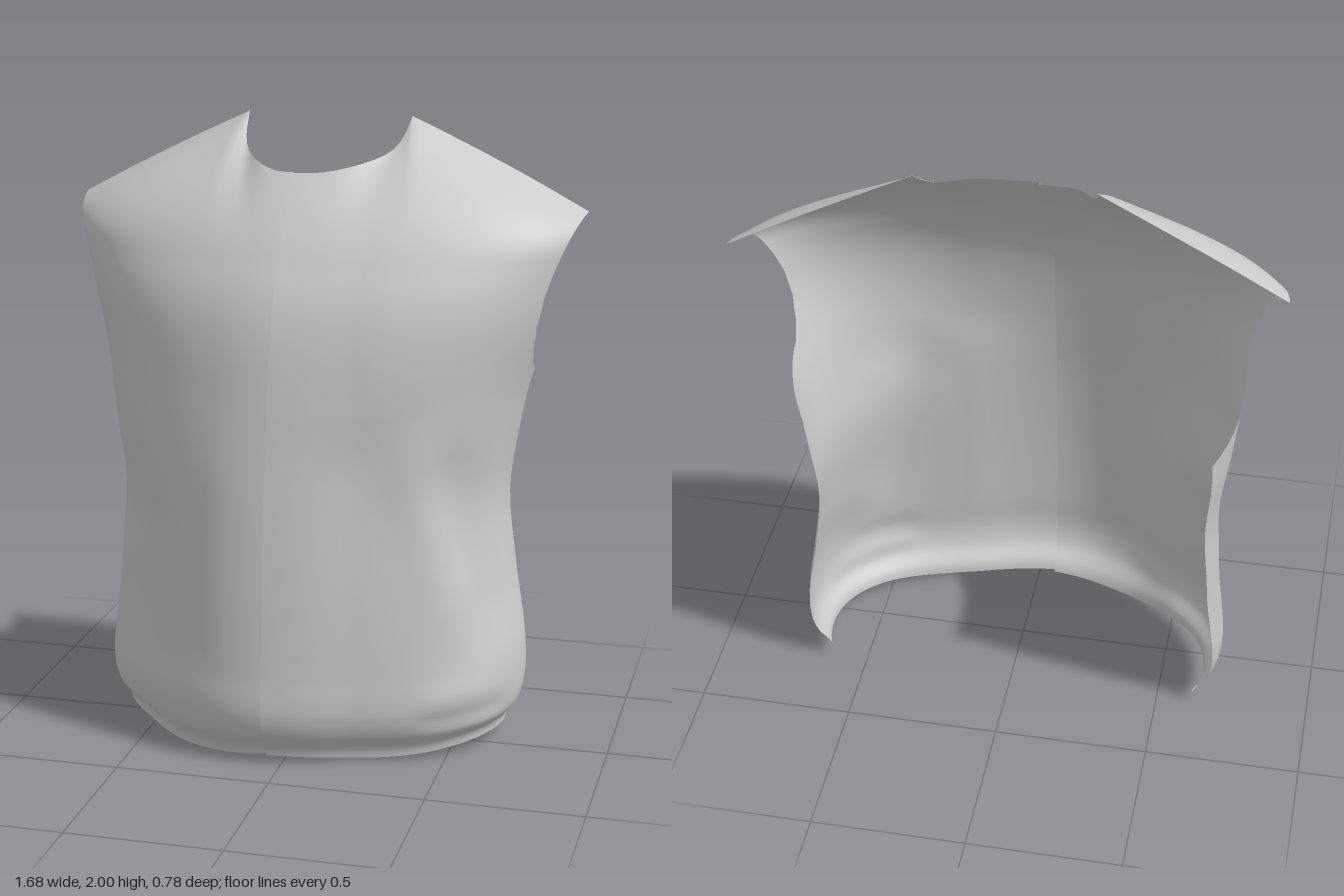
import * as THREE from 'three';

const SEAM = -0.055;  // x of the front closure
const COLS = 40;      // columns from closure to side
const NECK_COLS = 12; // columns that end on the neckline
const YOKE_ROWS = 14;

// Elliptical cross-section by height: half width, front z, centre z
const SECTION_Y = [0, 0.07, 0.115, 0.17, 0.3, 0.55, 0.8, 1.0, 1.15, 1.4, 1.5, 1.6];
const SECTIONS = [
  0.645, 0.305, -0.12, 0.648, 0.318, -0.12, 0.682, 0.36, -0.12, 0.698, 0.376, -0.13,
  0.696, 0.37, -0.15, 0.655, 0.355, -0.17, 0.626, 0.332, -0.19, 0.65, 0.308, -0.2,
  0.68, 0.287, -0.2, 0.755, 0.237, -0.2, 0.785, 0.2, -0.215, 0.825, 0.145, -0.25,
];
// Side seam and armhole: z of the cloth edge by height
const EDGE_Y = [0.045, 0.08, 0.12, 0.18, 0.3, 0.6, 0.85, 1.13, 1.195, 1.25, 1.3, 1.38, 1.47, 1.55, 1.6];
const EDGE_Z = [-0.24, -0.243, -0.247, -0.255, -0.27, -0.31, -0.345, -0.385, -0.25, -0.14, -0.105, -0.08, -0.085, -0.108, -0.13];
const NECK = [[0, 1.847, -0.037], [0.07, 1.849, -0.04], [0.155, 1.868, -0.075],
  [0.232, 1.9, -0.165], [0.258, 1.94, -0.223], [0.27, 2, -0.3]];
const SHOULDER = [[0.27, 2, -0.3], [0.45, 1.915, -0.312], [0.65, 1.815, -0.32], [0.842, 1.712, -0.325]];

// Cloth folds: start x, y, end x, y, half width, height
const FOLDS = [
  [0.27, 0.12, 0.27, 0.95, 0.19, -0.026], [0.38, 1.0, 0.52, 0.5, 0.07, 0.012],
  [0.5, 0.92, 0.62, 0.45, 0.07, -0.018], [0.62, 0.75, 0.68, 0.35, 0.07, 0.01],
  [0.48, 0.21, 0.6, 0.23, 0.05, 0.008], [0.48, 0.15, 0.64, 0.16, 0.035, -0.008],
  [-0.22, 0.15, -0.22, 0.9, 0.15, 0.01], [-0.5, 0.15, -0.5, 0.7, 0.13, -0.028],
  [-0.56, 0.92, -0.64, 0.72, 0.06, -0.01], [-0.3, 0.24, -0.5, 0.19, 0.06, 0.006],
];

const { smoothstep } = THREE.MathUtils;
const section = new THREE.CubicInterpolant(SECTION_Y, SECTIONS, 3);
const edge = new THREE.LinearInterpolant(EDGE_Y, EDGE_Z, 1);
const curve = (points) => new THREE.CatmullRomCurve3(points.map((p) => new THREE.Vector3(...p)));

function fold(p) {
  let d = 0;
  for (const [x1, y1, x2, y2, w, h] of FOLDS) {
    const dx = x2 - x1, dy = y2 - y1;
    const t = THREE.MathUtils.clamp(((p.x - x1) * dx + (p.y - y1) * dy) / (dx * dx + dy * dy), 0, 1);
    const r = Math.hypot(p.x - x1 - t * dx, p.y - y1 - t * dy) / w;
    d += h * Math.exp(-r * r);
  }
  d *= smoothstep(p.z, -0.25, 0.05); // side seams stay straight
  const n = Math.hypot(p.x, p.z + 0.4);
  p.x += d * p.x / n;
  p.z += d * (p.z + 0.4) / n;
}

// Body row at height y, from the closure round to the cloth edge
function bodyRow(y, side) {
  const [width, front, centre] = section.evaluate(y);
  const depth = front - centre;
  const end = Math.acos((edge.evaluate(y)[0] - centre) / depth);
  const fuller = side < 0 ? 0.04 * smoothstep(y, 0.3, 0.8) * (1 - smoothstep(y, 1.0, 1.4)) : 0;
  const hem = 1 - smoothstep(y, 0.04, 0.17);
  return Array.from({ length: COLS + 1 }, (_, i) => {
    const s = i / COLS, a = end * s;
    const dip = 0.026 * (1 - smoothstep(s, 0.25, 0.75))
      + (side < 0 ? 0.016 : 0.004) * Math.sin(Math.PI * Math.min(1, 2 * s));
    return new THREE.Vector3((width + fuller) * Math.sin(a), y - hem * dip, centre + depth * Math.cos(a));
  });
}

// Rows of one half, hem to shoulder
function panelRows(side) {
  const rows = [];
  EDGE_Y.slice(1).forEach((y, k) => {
    for (let j = 0; j < 4; j++) rows.push(bodyRow(THREE.MathUtils.lerp(EDGE_Y[k], y, j / 4), side));
  });
  rows.push(bodyRow(EDGE_Y.at(-1), side));

  // Yoke: leaves the body along its slope and ends on neckline and shoulder
  const last = rows.at(-1), before = rows.at(-2);
  const top = [...curve(NECK).getSpacedPoints(NECK_COLS),
    ...curve(SHOULDER).getSpacedPoints(COLS - NECK_COLS).slice(1)];
  const arcs = last.map((p, i) => {
    const slope = p.clone().sub(before[i]).normalize();
    return new THREE.QuadraticBezierCurve3(p, p.clone().addScaledVector(slope, 0.45 * p.distanceTo(top[i])), top[i]);
  });
  for (let j = 1; j <= YOKE_ROWS; j++) rows.push(arcs.map((arc) => arc.getPoint(j / YOKE_ROWS)));

  rows.flat().forEach((p) => {
    p.x = side * p.x + SEAM * Math.max(0, 1 - p.x / 0.27);
    fold(p);
  });
  return rows;
}

function sheet(name, rows, flip) {
  const n = rows[0].length, index = [];
  for (let j = 0; j < rows.length - 1; j++) {
    for (let i = 0; i < n - 1; i++) {
      const a = j * n + i, b = a + 1, c = b + n, d = a + n;
      if (flip) index.push(a, c, b, a, d, c);
      else index.push(a, b, c, a, c, d);
    }
  }
  const geometry = new THREE.BufferGeometry().setFromPoints(rows.flat());
  geometry.setIndex(index);
  geometry.computeVertexNormals();
  const mesh = new THREE.Mesh(geometry,
    new THREE.MeshStandardMaterial({ color: 0xcccccc, side: THREE.DoubleSide }));
  mesh.name = name;
  return mesh;
}

export function createModel() {
  const group = new THREE.Group();
  group.name = 'vestFront';
  const left = panelRows(1), right = panelRows(-1);

  // The left half stands slightly proud of the right at the closure
  left.forEach((row) => row.forEach((p, i) => { p.z += 0.012 * Math.max(0, 1 - i / 8); }));
  group.add(sheet('leftFrontPanel', left, false));
  group.add(sheet('rightFrontPanel', right, true));

  // Turned edge that closes the step between the two halves
  group.add(sheet('closureEdge', left.map((row, j) => [right[j][0], row[0]]), false));
  return group;
}
